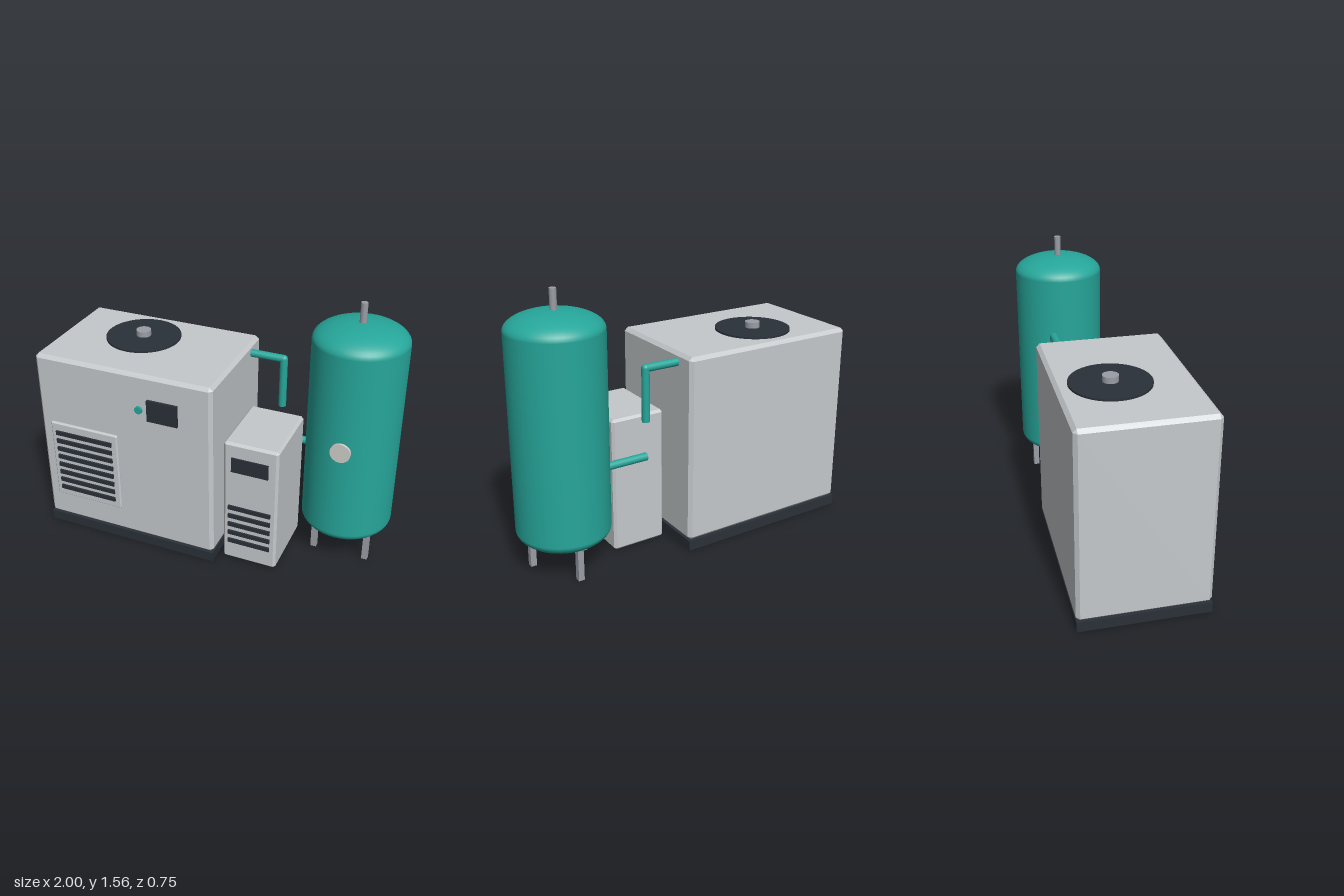
import * as THREE from 'three';
import { ConvexGeometry } from 'three/addons/geometries/ConvexGeometry.js';

const material = (name, color) => {
  const m = new THREE.MeshStandardMaterial({ color });
  m.name = name;
  return m;
};

export function createModel() {
  const model = new THREE.Group();
  model.name = 'compressorStation';
  const shell = material('lightGreyPaint', 0xc5c9cc);
  const dark = material('darkPlastic', 0x2a3138);
  const teal = material('tealPaint', 0x26a69a);
  const metal = material('greyMetal', 0x9a9ea5);
  const dial = material('dialFace', 0xcfcfcb);

  const add = (parent, name, geometry, mat, x = 0, y = 0, z = 0) => {
    const mesh = new THREE.Mesh(geometry, mat);
    mesh.name = name;
    mesh.position.set(x, y, z);
    parent.add(mesh);
    return mesh;
  };
  const group = (name) => {
    const g = new THREE.Group();
    g.name = name;
    model.add(g);
    return g;
  };
  // Box given by its limits on each axis
  const box = (parent, name, mat, [x0, x1], [y0, y1], [z0, z1]) =>
    add(parent, name, new THREE.BoxGeometry(x1 - x0, y1 - y0, z1 - z0), mat,
      (x0 + x1) / 2, (y0 + y1) / 2, (z0 + z1) / 2);
  // The same with every edge chamfered by b
  const chamferBox = (parent, name, mat, [x0, x1], [y0, y1], [z0, z1], b) => {
    const half = [(x1 - x0) / 2, (y1 - y0) / 2, (z1 - z0) / 2];
    const points = [];
    for (const sx of [-1, 1]) for (const sy of [-1, 1]) for (const sz of [-1, 1])
      for (let full = 0; full < 3; full++) {
        const s = [sx, sy, sz];
        points.push(new THREE.Vector3(...half.map((h, i) => s[i] * (i === full ? h : h - b))));
      }
    return add(parent, name, new ConvexGeometry(points), mat,
      (x0 + x1) / 2, (y0 + y1) / 2, (z0 + z1) / 2);
  };
  const cylinder = (parent, name, mat, r, length, x, y, z, sides = 32) =>
    add(parent, name, new THREE.CylinderGeometry(r, r, length, sides), mat, x, y, z);

  // Compressor cabinet on its plinth
  const cabinet = group('compressor');
  box(cabinet, 'plinth', dark, [-1, 0.083], [0, 0.06], [-0.368, 0.352]);
  chamferBox(cabinet, 'cabinetBody', shell, [-1, 0.083], [0.06, 1.147], [-0.368, 0.352], 0.02);
  cylinder(cabinet, 'fanDisc', dark, 0.217, 0.02, -0.532, 1.148, -0.086, 48);
  cylinder(cabinet, 'fanHub', metal, 0.043, 0.05, -0.532, 1.166, -0.086, 24);

  // Intake grille with eight slats
  chamferBox(cabinet, 'grillePanel', shell, [-0.93, -0.497], [0.222, 0.728], [0.34, 0.365], 0.008);
  for (let i = 0; i < 8; i++) {
    const y = 0.284 + i * 0.0542;
    box(cabinet, 'grilleSlat', dark, [-0.895, -0.533], [y - 0.013, y + 0.013], [0.362, 0.376]);
  }

  // Controls
  box(cabinet, 'cabinetDisplay', dark, [-0.297, -0.115], [0.876, 1.006], [0.35, 0.368]);
  cylinder(cabinet, 'startButton', teal, 0.022, 0.02, -0.35, 0.932, 0.357, 24).rotation.x = Math.PI / 2;

  // Air dryer
  const dryer = group('dryer');
  chamferBox(dryer, 'dryerBody', shell, [0.12, 0.442], [0.004, 0.8], [-0.15, 0.283], 0.014);
  box(dryer, 'dryerDisplay', dark, [0.17, 0.387], [0.619, 0.71], [0.278, 0.292]);
  for (let i = 0; i < 5; i++) {
    const y = 0.139 + i * 0.0585;
    box(dryer, 'dryerSlat', dark, [0.153, 0.406], [y - 0.013, y + 0.013], [0.278, 0.294]);
  }

  // Air tank with domed ends
  const tank = group('airTank');
  tank.position.set(0.738, 0, -0.117);
  const profile = [];
  const steps = 12;
  for (let i = 0; i <= steps; i++) {
    const a = (i / steps) * Math.PI / 2;
    profile.push(new THREE.Vector2(0.26 * Math.sin(a), 0.25 - 0.1 * Math.cos(a)));
  }
  for (let i = steps; i >= 0; i--) profile.push(new THREE.Vector2(profile[i].x, 1.6 - profile[i].y));
  add(tank, 'tankShell', new THREE.LatheGeometry(profile, 48), teal);
  cylinder(tank, 'topOutlet', metal, 0.019, 0.15, 0, 1.485, 0, 12);
  cylinder(tank, 'gauge', dial, 0.057, 0.05, 0, 0.8, 0.247).rotation.x = Math.PI / 2;
  for (let i = 0; i < 3; i++) {
    const a = Math.PI + i * Math.PI * 2 / 3;
    add(tank, 'tankLeg', new THREE.BoxGeometry(0.034, 0.22, 0.034), metal,
      0.18 * Math.sin(a), 0.11, 0.18 * Math.cos(a));
  }

  // Connecting pipes
  const pipes = group('pipes');
  const r = 0.0225, z = -0.23;
  cylinder(pipes, 'outletPipe', teal, r, 0.22, 0.17, 1.093, z, 20).rotation.z = Math.PI / 2;
  add(pipes, 'pipeElbow', new THREE.SphereGeometry(r, 20, 12), teal, 0.28, 1.093, z);
  cylinder(pipes, 'downPipe', teal, r, 0.303, 0.28, 0.9415, z, 20);
  cylinder(pipes, 'tankPipe', teal, r, 0.26, 0.41, 0.585, z, 20).rotation.z = Math.PI / 2;

  return model;
}
